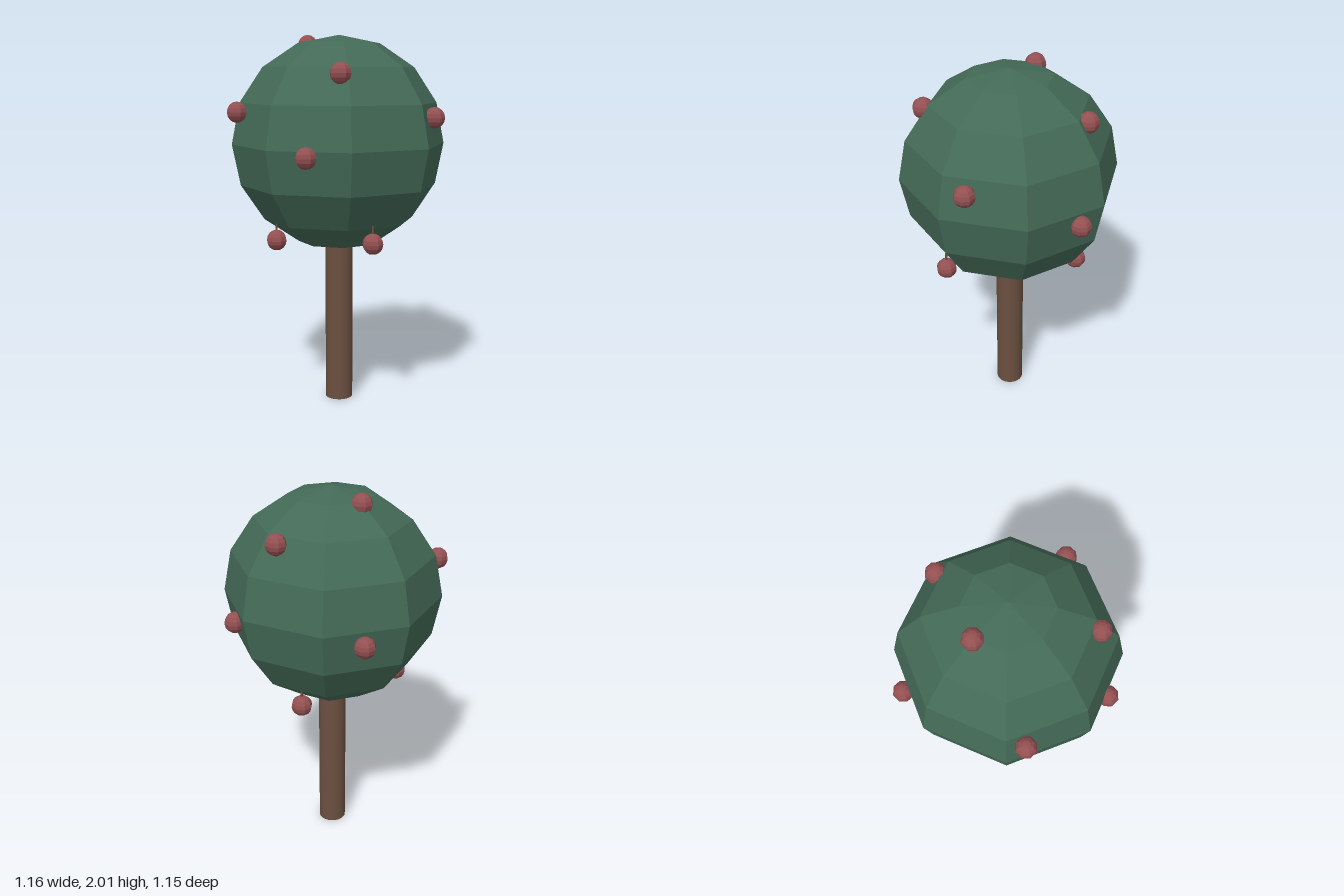
import * as THREE from 'three';

export function createModel() {
  const tree = new THREE.Group();
  tree.name = 'fruitTree';

  const material = (name, color) => {
    const m = new THREE.MeshStandardMaterial({ color });
    m.name = name;
    return m;
  };
  const leafGreen = material('leafGreen', 0x446a57);
  const barkBrown = material('barkBrown', 0x6b5040);
  const fruitRed = material('fruitRed', 0x945052);

  const add = (name, geometry, mat, x, y, z, parent = tree) => {
    const mesh = new THREE.Mesh(geometry, mat);
    mesh.name = name;
    mesh.position.set(x, y, z);
    parent.add(mesh);
    return mesh;
  };

  // Faceted geometry: unshared vertices with one normal per face
  const faceted = (geometry) => {
    const flat = geometry.toNonIndexed();
    flat.computeVertexNormals();
    return flat;
  };

  // Smooth round trunk, its top tucked into the canopy
  add('trunk', new THREE.CylinderGeometry(0.075, 0.075, 0.95, 32), barkBrown, 0, 0.475, 0);

  // Eight-sided ball canopy
  add('canopy', faceted(new THREE.SphereGeometry(0.575, 8, 8)), leafGreen, 0, 1.425, 0);

  // Fruits scattered over the canopy
  const fruitGeometry = faceted(new THREE.SphereGeometry(0.055, 8, 8));
  fruitGeometry.rotateY(Math.PI / 8);
  const stemGeometry = new THREE.CylinderGeometry(0.006, 0.006, 0.05, 6);
  const spots = [
    [0, 1.95, -0.22],
    [-0.33, 1.8, 0.275],
    [0.415, 1.8, -0.075],
    [-0.45, 1.6, -0.32],
    [0.125, 1.575, 0.525],
    [-0.505, 1.395, 0.2],
    [0.53, 1.36, 0.135],
    [0.23, 1.36, -0.51],
    [-0.16, 0.94, 0.35],
    [0.335, 0.93, -0.15],
    [-0.33, 0.925, -0.16],
  ];
  for (const [x, y, z] of spots) {
    const fruit = add('fruit', fruitGeometry, fruitRed, x, y, z);
    // Low fruits hang from short stems
    if (y < 1) add('fruitStem', stemGeometry, barkBrown, 0, 0.07, 0, fruit);
  }

  return tree;
}
